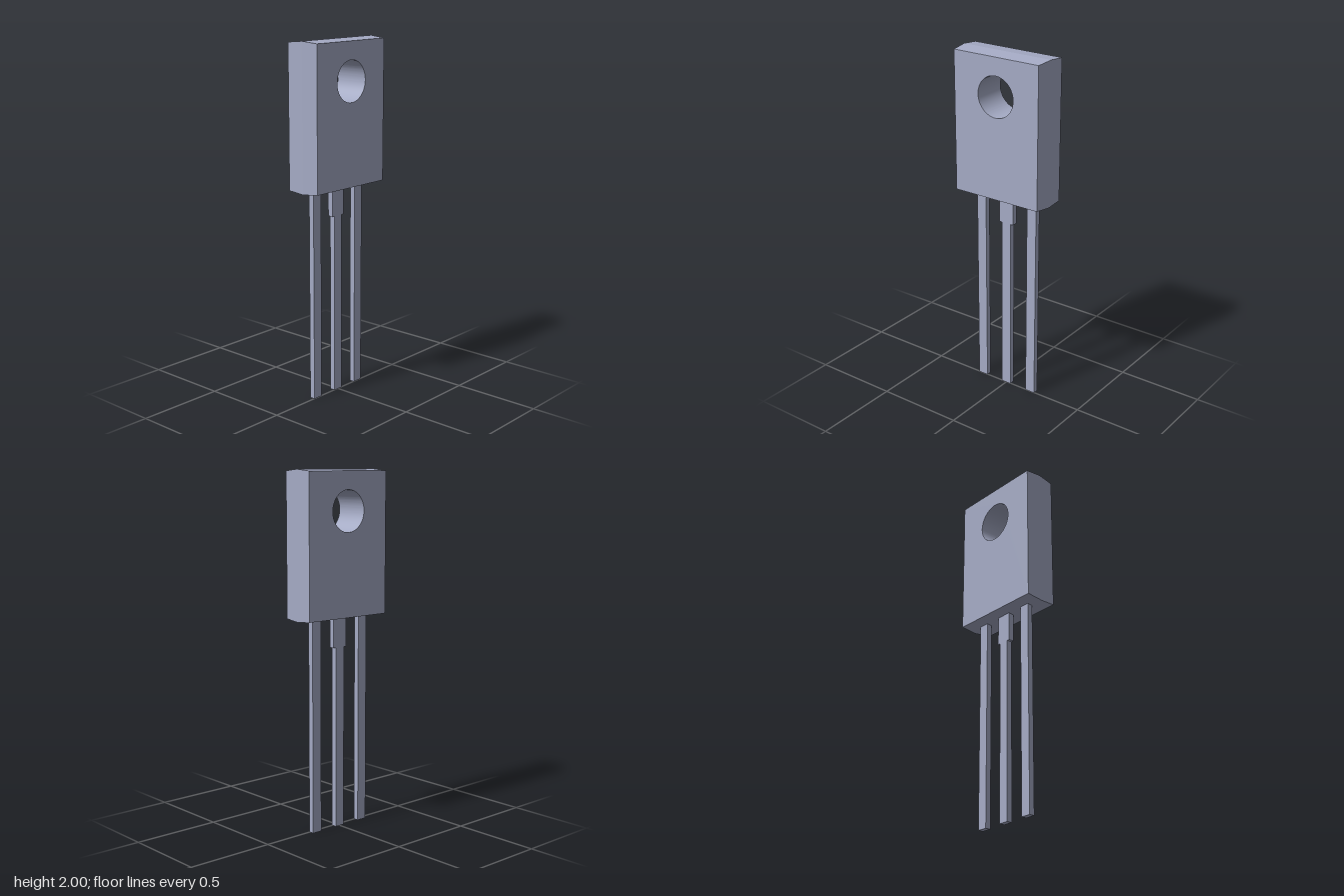
import * as THREE from 'three';
import { toCreasedNormals } from 'three/addons/utils/BufferGeometryUtils.js';

export function createModel() {
  const model = new THREE.Group();
  const metal = new THREE.MeshStandardMaterial({ color: 0xa5abc5 });
  metal.name = 'blue grey';

  const add = (name, geometry, parent = model) => {
    const mesh = new THREE.Mesh(geometry, metal);
    mesh.name = name;
    parent.add(mesh);
    return mesh;
  };

  // Package body: a slab with a mounting hole, widest at its middle seam
  const halfW = 0.28, bottom = 1.19, top = 2, depth = 0.196, draft = 0.009;
  const outline = new THREE.Shape([
    new THREE.Vector2(-halfW, bottom),
    new THREE.Vector2(halfW, bottom),
    new THREE.Vector2(halfW, top),
    new THREE.Vector2(-halfW, top),
  ]);
  const hole = new THREE.Path();
  hole.absarc(0, 1.777, 0.114, 0, Math.PI * 2, true);
  outline.holes.push(hole);
  const body = new THREE.ExtrudeGeometry(outline, {
    depth, steps: 2, bevelEnabled: false, curveSegments: 48,
  });
  body.translate(0, 0, -depth / 2);

  // Draft: ends slope both ways from the seam, sides only towards the front
  const p = body.attributes.position;
  for (let i = 0; i < p.count; i++) {
    const x = p.getX(i), y = p.getY(i), z = p.getZ(i);
    if (Math.abs(x) < halfW - 0.001 || Math.abs(z) < 0.01) continue;
    p.setY(i, y > 1.6 ? y - draft : y + draft);
    if (z > 0) p.setX(i, x - Math.sign(x) * draft);
  }
  add('body', toCreasedNormals(body, 0.06 + 0.02));
  model.children[0].geometry = toCreasedNormals(body, 0.07);

  // Three leads, just behind the seam
  const leadDepth = 0.032, leadZ = -0.013;
  const leadTop = bottom + 0.03;
  for (const [name, x] of [['rightLead', -0.17], ['leftLead', 0.17]]) {
    add(name, new THREE.BoxGeometry(0.06, leadTop, leadDepth)).position.set(x, leadTop / 2, leadZ);
  }

  // Middle lead with its wider shoulder
  const shoulderY = 1.028, s = 0.046, n = 0.03;
  const middle = new THREE.Shape([
    [-n, 0], [n, 0], [n, shoulderY], [s, shoulderY],
    [s, leadTop], [-s, leadTop], [-s, shoulderY], [-n, shoulderY],
  ].map(([x, y]) => new THREE.Vector2(x, y)));
  add('middleLead', new THREE.ExtrudeGeometry(middle, { depth: leadDepth, bevelEnabled: false }))
    .position.z = leadZ - leadDepth / 2;

  return model;
}
